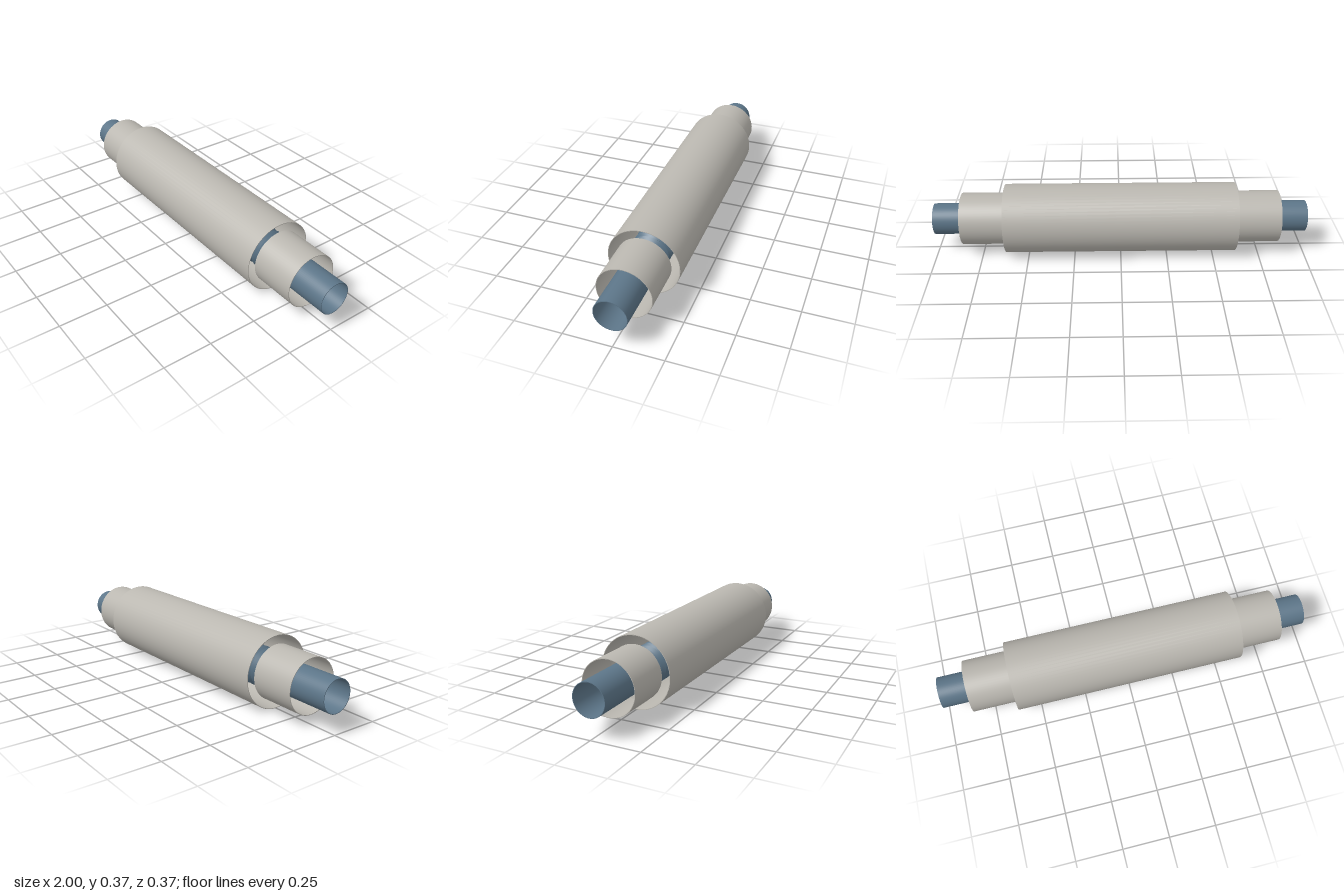
import * as THREE from 'three';

const AXIS_Y = 0.187;
const SEGMENTS = 64;

const shell = new THREE.MeshStandardMaterial({ color: 0xbab7b0, side: THREE.DoubleSide });
const steel = new THREE.MeshStandardMaterial({ color: 0x5c7588, side: THREE.DoubleSide });

// Lathe with its axis along x; every profile segment gets its own sharp-edged band
function addLathe(group, name, points, material) {
  const part = new THREE.Group();
  part.name = name;
  for (let i = 0; i < points.length - 1; i++) {
    const pair = [points[i], points[i + 1]].map(([r, x]) => new THREE.Vector2(r, x));
    const mesh = new THREE.Mesh(new THREE.LatheGeometry(pair, SEGMENTS), material);
    mesh.name = name + 'Band';
    part.add(mesh);
  }
  part.rotation.z = -Math.PI / 2;
  group.add(part);
}

// Thin-walled open pipe from x0 to x1
function addPipe(group, name, outer, wall, x0, x1, material) {
  const inner = outer - wall;
  addLathe(group, name, [[outer, x0], [outer, x1], [inner, x1], [inner, x0], [outer, x0]], material);
}

export function createModel() {
  const model = new THREE.Group();
  model.name = 'bellowsJoint';
  const body = new THREE.Group();
  body.name = 'coaxialTubes';
  body.position.y = AXIS_Y;
  model.add(body);

  // Outer casing
  addPipe(body, 'outerCasing', 0.185, 0.003, -0.617, 0.617, shell);

  // Sleeves and inner pipe stubs at both ends
  for (const [side, s] of [['left', 1], ['right', -1]]) {
    addPipe(body, side + 'Sleeve', 0.139, 0.003, s * 0.612, s * 0.85, shell);
    addPipe(body, side + 'InnerPipe', 0.083, 0.003, s * 0.6, s, steel);
  }

  // Corrugated bellows joining the inner pipes
  const folds = 30;
  const profile = [];
  for (let i = 0; i <= folds * 2; i++) {
    profile.push([i % 2 ? 0.1 : 0.082, -0.6 + (1.2 * i) / (folds * 2)]);
  }
  addLathe(body, 'bellows', profile, steel);

  return model;
}
